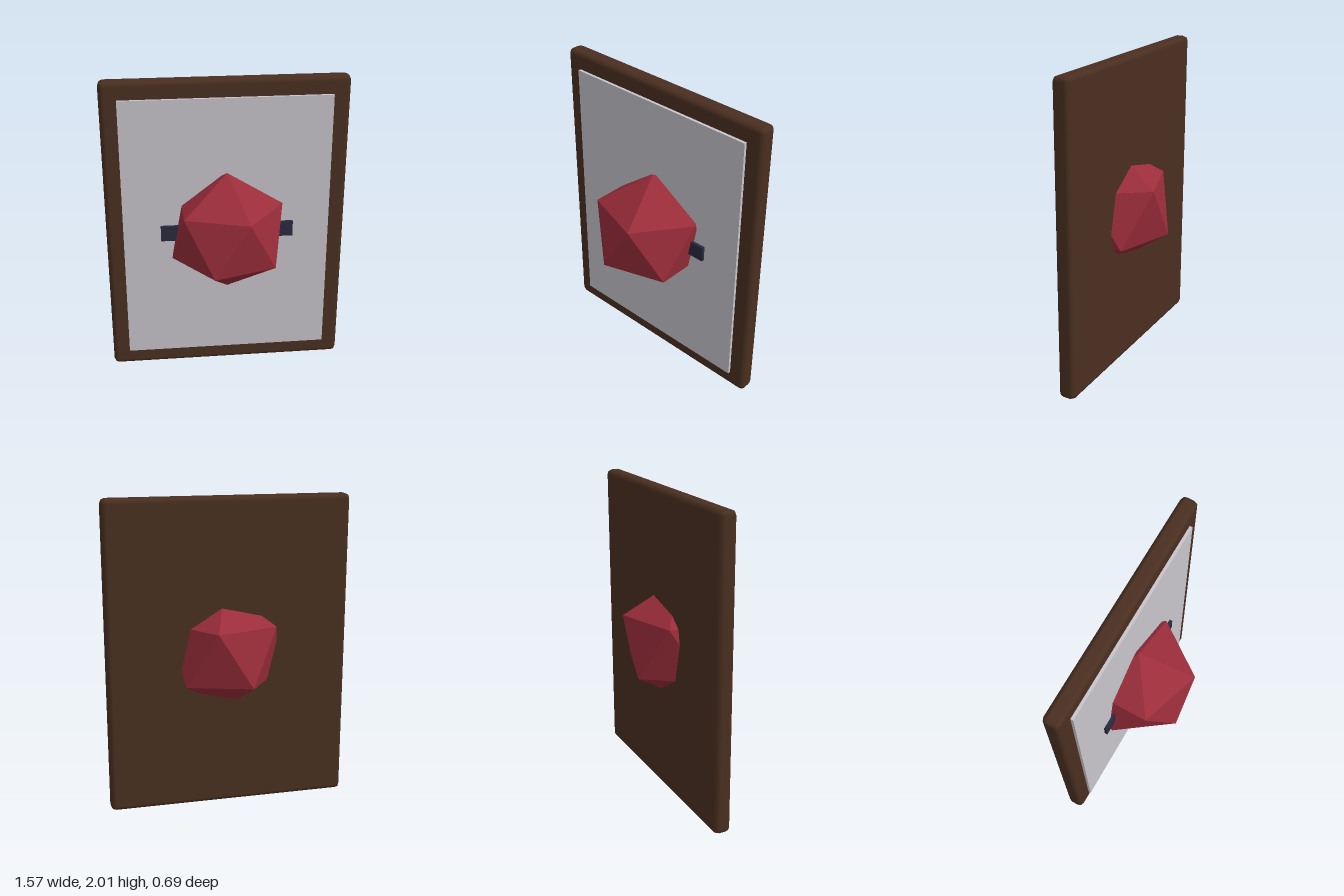
import * as THREE from 'three';
import { RoundedBoxGeometry } from 'three/addons/geometries/RoundedBoxGeometry.js';

export function createModel() {
  const model = new THREE.Group();
  model.name = 'framedGem';

  const add = (name, geometry, color, y, z, flatShading = false) => {
    const mesh = new THREE.Mesh(geometry, new THREE.MeshStandardMaterial({ color, flatShading }));
    mesh.name = name;
    mesh.position.set(0, y, z);
    model.add(mesh);
  };

  // Wooden backing board with chamfered edges
  add('frame', new RoundedBoxGeometry(1.566, 2.006, 0.111, 1, 0.033), 0x4a2f20, 1, -0.097);

  // Thin pale panel standing proud of the board
  add('panel', new THREE.BoxGeometry(1.346, 1.78, 0.025), 0xc8c5cc, 1, -0.0355);

  // Flat bar passing through the gem
  add('crossBar', new THREE.BoxGeometry(0.862, 0.102, 0.02), 0x2a2a40, 1.005, 0);

  // Icosahedron turned to stand on one vertex
  const golden = (1 + Math.sqrt(5)) / 2;
  const gem = new THREE.IcosahedronGeometry(0.403, 0);
  gem.rotateZ(-Math.atan(1 / golden));
  add('gem', gem, 0x9b2d3a, 1.005, 0, true);

  return model;
}
